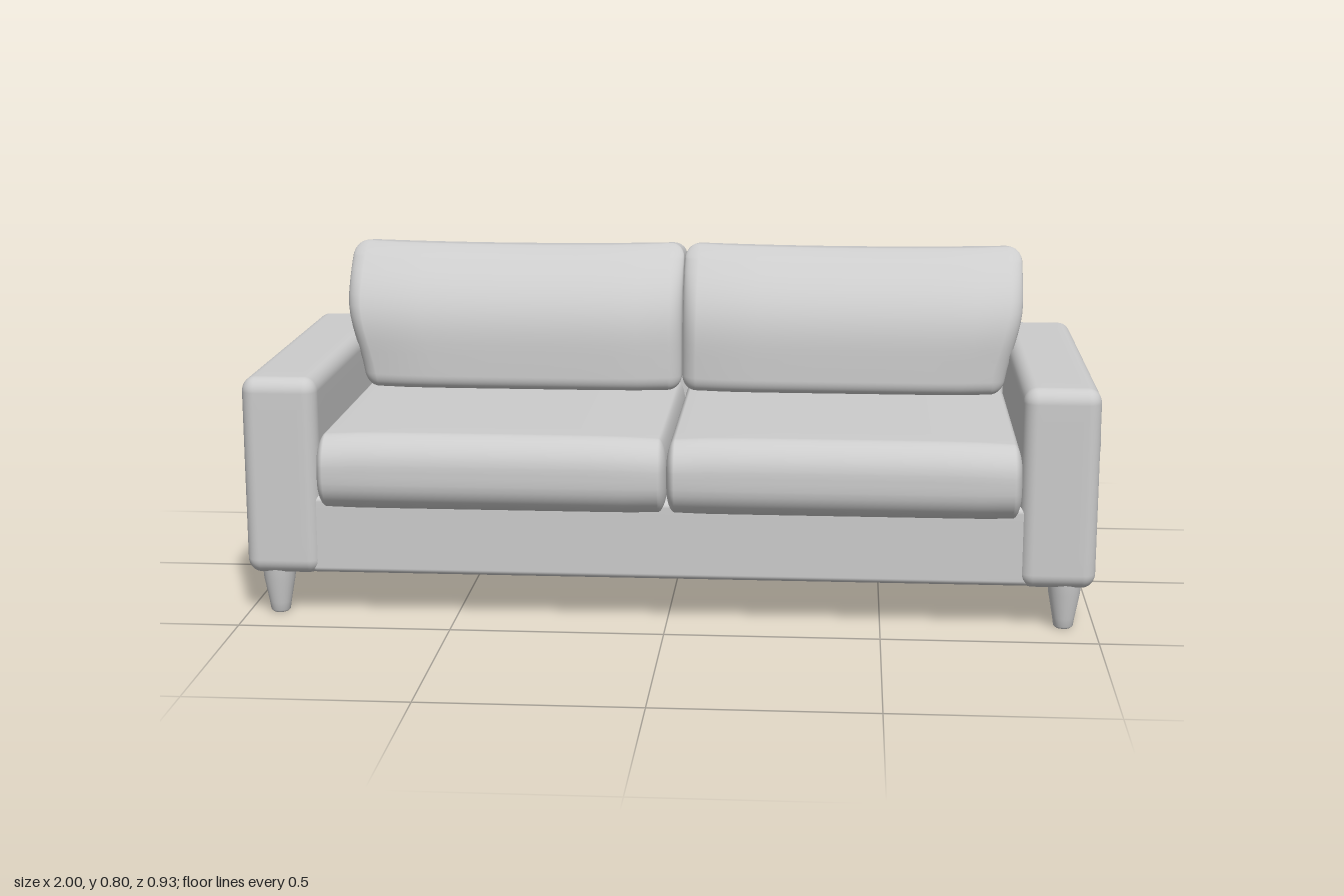
import * as THREE from 'three';
import { mergeVertices } from 'three/addons/utils/BufferGeometryUtils.js';

// Box with rounded edges (separate radius per axis), finely divided so it can be warped.
function softBox(size, radius, warp) {
  const N = 20;
  const geo = new THREE.BoxGeometry(2, 2, 2, N, N, N);
  geo.deleteAttribute('uv');
  geo.deleteAttribute('normal');
  const pos = geo.attributes.position;
  const p = new THREE.Vector3();
  for (let i = 0; i < pos.count; i++) {
    const inner = [], edge = new THREE.Vector3();
    [pos.getX(i), pos.getY(i), pos.getZ(i)].forEach((t, a) => {
      const core = size[a] / 2 - radius[a];
      inner[a] = THREE.MathUtils.clamp(t * 2, -1, 1) * core;
      const over = Math.max(0, Math.abs(t) - 0.5) * 2;
      edge.setComponent(a, Math.sign(t) * Math.tan(over * Math.PI / 4));
    });
    edge.normalize();
    p.set(inner[0] + edge.x * radius[0], inner[1] + edge.y * radius[1], inner[2] + edge.z * radius[2]);
    if (warp) warp(p);
    pos.setXYZ(i, p.x, p.y, p.z);
  }
  const merged = mergeVertices(geo, 1e-5);
  merged.computeVertexNormals();
  return merged;
}

export function createModel() {
  const sofa = new THREE.Group();
  sofa.name = 'sofa';
  const fabric = new THREE.MeshStandardMaterial({ color: 0xcccccc });
  fabric.name = 'light grey';

  const add = (name, geo, x = 0, y = 0, z = 0) => {
    const mesh = new THREE.Mesh(geo, fabric);
    mesh.name = name;
    mesh.position.set(x, y, z);
    sofa.add(mesh);
    return mesh;
  };

  // Base and back frame between the arms
  add('base', softBox([1.7, 0.19, 0.85], [0.02, 0.015, 0.02]), 0, 0.2, -0.01);
  add('backFrame', softBox([1.68, 0.57, 0.14], [0.03, 0.035, 0.035]), 0, 0.39, -0.39);

  // Tapered leg with a rounded foot
  const legProfile = [[0, 0], [0.018, 0], [0.023, 0.005], [0.026, 0.025], [0.037, 0.085], [0.04, 0.12]]
    .map(([r, y]) => new THREE.Vector2(r, y));
  const legGeo = new THREE.LatheGeometry(legProfile, 24);

  for (const s of [1, -1]) {
    const side = s > 0 ? 'left' : 'right';

    add(side + 'Arm', softBox([0.178, 0.473, 0.885], [0.032, 0.035, 0.035]), s * 0.907, 0.339, -0.0155);

    // Small raised oval on the outside of the arm
    add(side + 'ArmButton', new THREE.SphereGeometry(1, 20, 14), s * 0.995, 0.44, 0.365)
      .scale.set(0.005, 0.034, 0.015);

    // Seat cushion with a domed front and slightly crowned top
    const seat = softBox([0.82, 0.175, 0.74], [0.02, 0.065, 0.045], (p) => {
      const u = p.x / 0.41, v = p.y / 0.0875;
      if (p.z > 0.3) p.z += 0.018 * (1 - v * v) - 0.008 * u ** 8;
      if (p.y > 0) p.y += 0.008 * (1 - u ** 6);
    });
    add(side + 'SeatCushion', seat, s * 0.41, 0.353, 0.077);

    // Back cushion: leaning front, wider at the top, pinched at its ends
    const back = softBox([0.82, 0.35, 0.24], [0.035, 0.035, 0.03], (p) => {
      const out = s * p.x / 0.82 + 0.5;
      const u = out * 2 - 1;
      const v = p.y / 0.35 + 0.5;
      const w = p.z / 0.24 + 0.5;
      const y = 0.447 + 0.352 * v;
      const rise = Math.max(0, (y - 0.55) / 0.25);
      const front = -0.063 - 0.155 * rise ** 2.6 - 0.03 * u ** 6;
      const rear = -0.28 - 0.07 * THREE.MathUtils.smoothstep(y, 0.45, 0.7);
      const width = 0.805 + 0.045 * THREE.MathUtils.smoothstep(v, 0, 0.65);
      p.set(s * (0.001 + out * width),
        y + 0.015 * v * v * (w - 0.8) - 0.006 * v * (1 - u * u) + 0.003,
        THREE.MathUtils.lerp(rear, front, w));
    });
    add(side + 'BackCushion', back);

    add(side + 'FrontLeg', legGeo, s * 0.928, 0, 0.375);
    add(side + 'BackLeg', legGeo, s * 0.928, 0, -0.395);
  }
  return sofa;
}
